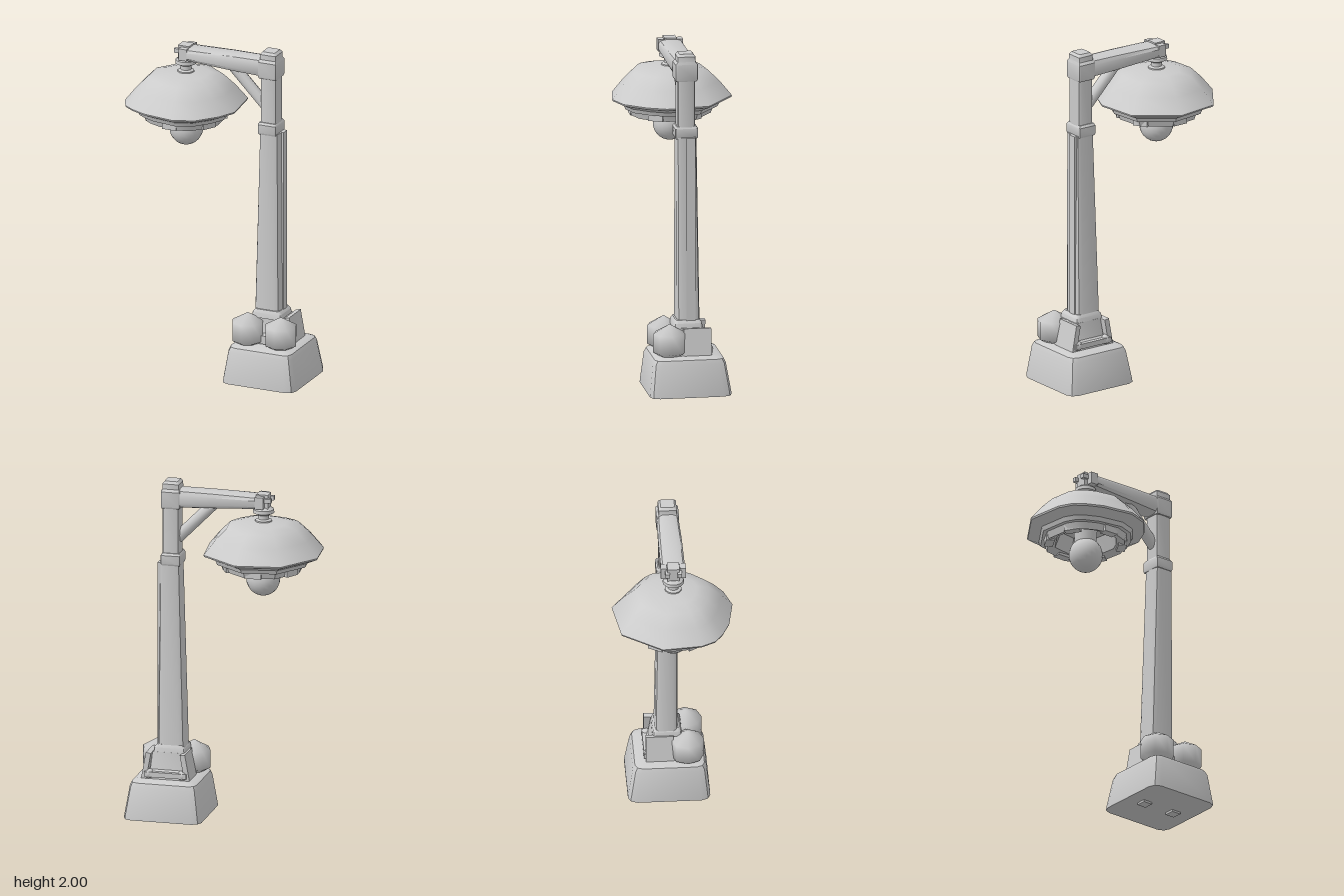
import * as THREE from 'three';
import { toCreasedNormals } from 'three/addons/utils/BufferGeometryUtils.js';

const material = new THREE.MeshStandardMaterial({ color: 0xcccccc, side: THREE.DoubleSide });

// Skin an [x, z] outline through rings of [y, centreX, centreZ, scaleX, scaleZ], rising on the outside.
function loft(outline, rings, crease = 0.6) {
  const n = outline.length, pos = [], index = [];
  for (const [y, cx, cz, sx, sz] of rings)
    for (const [x, z] of outline) pos.push(cx + x * sx, y, cz + z * sz);
  for (let r = 0; r < rings.length - 1; r++)
    for (let i = 0; i < n; i++) {
      const a = r * n + i, b = r * n + (i + 1) % n;
      if (rings[r + 1][3] > 0) index.push(a, a + n, b + n);
      if (rings[r][3] > 0) index.push(a, b + n, b);
    }
  const g = new THREE.BufferGeometry();
  g.setAttribute('position', new THREE.Float32BufferAttribute(pos, 3));
  g.setIndex(index);
  return toCreasedNormals(g, crease);
}

// Unit square outline with rounded corners.
function roundedSquare(r, steps = 2) {
  const pts = [];
  [[1, 1], [-1, 1], [-1, -1], [1, -1]].forEach(([sx, sz], q) => {
    for (let k = 0; k <= steps; k++) {
      const a = (q + k / steps) * Math.PI / 2;
      pts.push([sx * (1 - r) + r * Math.cos(a), sz * (1 - r) + r * Math.sin(a)]);
    }
  });
  return pts;
}

// Close both ends of a stack of rings.
function capped(rings) {
  const end = ([y, cx, cz]) => [y, cx, cz, 0, 0];
  return [end(rings[0]), ...rings, end(rings[rings.length - 1])];
}

export function createModel() {
  const root = new THREE.Group();
  const add = (name, geometry, x = 0, y = 0, z = 0) => {
    const mesh = new THREE.Mesh(geometry, material);
    mesh.name = name;
    mesh.position.set(x, y, z);
    root.add(mesh);
    return mesh;
  };
  const box = (name, w, h, d, x, y, z) => add(name, new THREE.BoxGeometry(w, h, d), x, y, z);
  const block = (name, round, rings) => add(name, loft(roundedSquare(round), capped(rings)));

  // Tapered base with bevelled shoulders
  block('base', 0.22, [
    [0.012, 0.33, 0, 0.23, 0.237], [0.03, 0.33, 0, 0.229, 0.236],
    [0.2, 0.33, 0.005, 0.202, 0.212], [0.225, 0.33, 0.005, 0.192, 0.2],
    [0.238, 0.33, 0.005, 0.165, 0.17]]);
  for (const x of [0.22, 0.43]) box('foot', 0.06, 0.03, 0.06, x, 0.015, 0);

  // Pedestal around the foot of the post
  block('pedestal', 0.15, [
    [0.23, 0.33, -0.02, 0.14, 0.11], [0.27, 0.33, -0.02, 0.135, 0.105],
    [0.29, 0.33, -0.015, 0.1, 0.09], [0.39, 0.33, -0.01, 0.09, 0.08]]);
  block('pedestalCollar', 0.2, [
    [0.385, 0.32, -0.005, 0.095, 0.085], [0.415, 0.32, -0.005, 0.09, 0.08],
    [0.432, 0.32, -0.005, 0.075, 0.07]]);
  for (const s of [-1, 1]) {
    const plate = box('sidePlate', 0.03, 0.16, 0.16, 0.33 + s * 0.115, 0.312, -0.05);
    plate.rotation.z = s * 0.18;
    add('bolt', new THREE.SphereGeometry(0.03, 8, 6), 0.33 + s * 0.1, 0.265, -0.115);
    add('globe', new THREE.SphereGeometry(0.11, 8, 3), 0.325 + s * 0.104, 0.312, 0.11);
  }
  box('rearBar', 0.25, 0.03, 0.03, 0.33, 0.265, -0.125);
  box('frontBar', 0.12, 0.05, 0.05, 0.33, 0.27, 0.1);

  // Post
  block('lowerPost', 0.4, [[0.42, 0.312, -0.01, 0.08, 0.066], [1.51, 0.325, 0, 0.06, 0.058]]);
  box('conduit', 0.02, 1.09, 0.05, 0.388, 0.965, -0.02);
  block('upperPost', 0.4, [[1.5, 0.32, 0, 0.051, 0.052], [1.9, 0.32, 0, 0.051, 0.052]]);
  block('postCollar', 0.15, [
    [1.5, 0.318, 0, 0.055, 0.062], [1.51, 0.318, 0, 0.058, 0.067],
    [1.56, 0.318, 0, 0.058, 0.067], [1.573, 0.318, 0, 0.05, 0.058]]);
  block('postHead', 0.15, [
    [1.84, 0.319, 0, 0.054, 0.06], [1.85, 0.319, 0, 0.057, 0.065],
    [1.94, 0.319, 0, 0.057, 0.065], [1.955, 0.319, 0, 0.05, 0.053],
    [1.985, 0.319, 0, 0.05, 0.052], [2, 0.319, 0, 0.038, 0.04]]);

  // Arm, lofted along -x
  const arm = block('arm', 0.55, [
    [0, 0, 0, 0.056, 0.062], [0.2, 0.005, 0, 0.05, 0.068], [0.46, 0.01, 0, 0.038, 0.07]]);
  arm.rotation.z = Math.PI / 2;
  arm.position.set(0.27, 1.9, 0);

  // Diagonal brace
  const from = new THREE.Vector3(0.29, 1.655, 0), to = new THREE.Vector3(0.075, 1.875, 0);
  const brace = add('brace', toCreasedNormals(
    new THREE.CylinderGeometry(0.034, 0.034, from.distanceTo(to), 8), 0.9));
  brace.position.lerpVectors(from, to, 0.5);
  brace.quaternion.setFromUnitVectors(new THREE.Vector3(0, 1, 0), to.clone().sub(from).normalize());

  // Bracket at the arm's end
  box('bracket', 0.07, 0.085, 0.07, -0.22, 1.915, 0);
  for (const s of [-1, 1]) {
    box('bracketCheek', 0.05, 0.07, 0.035, -0.21, 1.915, s * 0.055);
    box('bracketPin', 0.09, 0.025, 0.025, -0.23, 1.925, s * 0.035);
  }

  // Turned hanger between bracket and shade
  const hanger = [[0, 0], [0.05, 0], [0.048, 0.015], [0.032, 0.022], [0.032, 0.045],
    [0.062, 0.06], [0.06, 0.08], [0.04, 0.095], [0, 0.095]].map(p => new THREE.Vector2(...p));
  add('hanger', toCreasedNormals(new THREE.LatheGeometry(hanger, 14), 0.6), -0.22, 1.785, 0);

  // Uneven faceted shade: hollow underside, stepped rim, domed top
  const shadeOutline = [[-0.56, -0.08], [-0.4, -0.31], [-0.14, -0.35], [0.09, -0.18], [0.12, 0.07],
    [0.07, 0.18], [-0.03, 0.3], [-0.155, 0.345], [-0.34, 0.315], [-0.44, 0.27], [-0.5, 0.225],
    [-0.54, 0.145]].map(([x, z]) => [x + 0.22, z]);
  const shadeProfile = [[1.62, 0], [1.62, 0.42], [1.53, 0.52], [1.51, 0.66], [1.55, 0.7],
    [1.55, 0.77], [1.575, 0.8], [1.605, 0.99], [1.615, 1], [1.7, 0.8], [1.765, 0.61],
    [1.785, 0.4], [1.793, 0.15], [1.795, 0]];
  add('shade', loft(shadeOutline, shadeProfile.map(([y, s]) => [y, -0.22, 0, s, s]), 0.7));

  // Blocks inside the rim and the bulb
  for (let i = 0; i < 6; i++) {
    const a = (i + 0.5) * Math.PI / 3;
    const lug = box('rimLug', 0.05, 0.05, 0.09, -0.22 + 0.21 * Math.cos(a), 1.535, 0.21 * Math.sin(a));
    lug.rotation.y = -a;
  }
  add('socket', new THREE.CylinderGeometry(0.07, 0.06, 0.11, 14), -0.22, 1.57, 0);
  add('bulb', new THREE.SphereGeometry(0.098, 20, 14), -0.218, 1.45, 0).scale.y = 1.03;

  return root;
}
